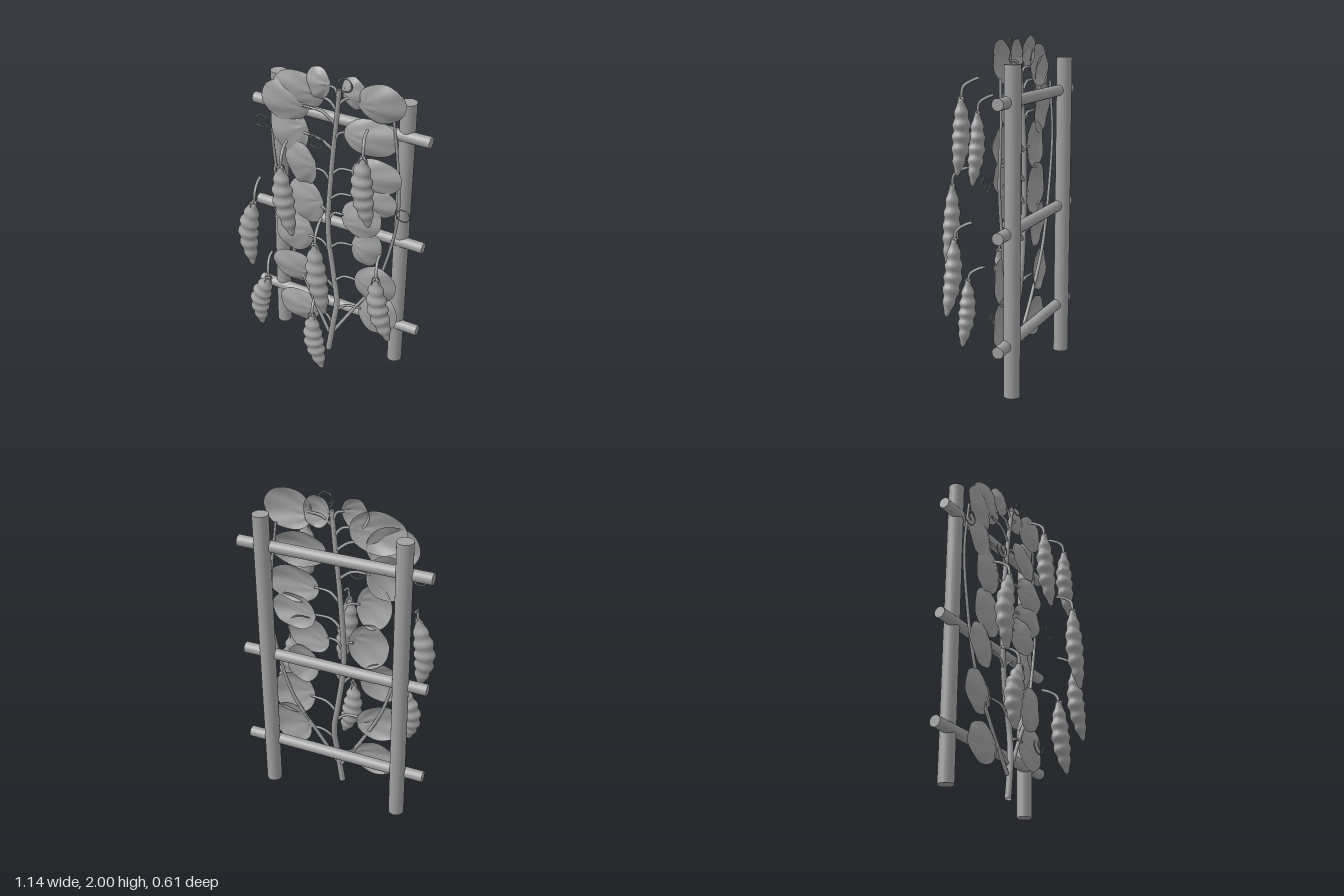
import * as THREE from 'three';
import { mergeVertices } from 'three/addons/utils/BufferGeometryUtils.js';

const V = (p) => new THREE.Vector3(...p);

export function createModel() {
  const model = new THREE.Group();
  const grey = new THREE.MeshStandardMaterial({ color: 0xa0a0a0, side: THREE.DoubleSide });
  grey.name = 'plainGrey';

  const add = (name, geometry, parent = model) => {
    const mesh = new THREE.Mesh(geometry, grey);
    mesh.name = name;
    parent.add(mesh);
    return mesh;
  };

  // Tube through points whose radius follows a rule of t; depth flattens it in z
  const sweep = (points, radius, segments = 24, sides = 8, depth = 1) => {
    const curve = new THREE.CatmullRomCurve3(points.map(V));
    const g = new THREE.TubeGeometry(curve, segments, 1, sides);
    const pos = g.attributes.position, v = new THREE.Vector3();
    for (let i = 0; i <= segments; i++) {
      const t = i / segments, c = curve.getPointAt(t), r = radius(t);
      for (let j = 0; j <= sides; j++) {
        const k = i * (sides + 1) + j;
        v.fromBufferAttribute(pos, k).sub(c).multiplyScalar(r);
        pos.setXYZ(k, c.x + v.x, c.y + v.y, c.z + v.z * depth);
      }
    }
    g.deleteAttribute('uv');
    g.deleteAttribute('normal');
    const welded = mergeVertices(g, 1e-5);
    welded.computeVertexNormals();
    return welded;
  };

  // Trellis
  const trellis = new THREE.Group();
  trellis.name = 'trellis';
  model.add(trellis);
  for (const x of [-0.415, 0.415]) {
    add('post', new THREE.CylinderGeometry(0.047, 0.047, 1.86, 24), trellis).position.set(x, 0.93, -0.255);
  }
  for (const y of [0.305, 0.945, 1.66]) {
    const rail = add('rail', new THREE.CylinderGeometry(0.034, 0.034, 1.14, 20), trellis);
    rail.rotation.z = Math.PI / 2;
    rail.position.set(0, y, -0.233);
  }

  // Climbing stems
  const stemPoints = [[0, 0, -0.12], [0.03, 0.23, -0.125], [0.045, 0.4, -0.14], [0.015, 0.6, -0.15],
    [-0.025, 0.92, -0.15], [-0.01, 1.34, -0.155], [0.02, 1.66, -0.15], [0.045, 1.9, -0.14]];
  add('mainStem', sweep(stemPoints, (t) => 0.02 - 0.006 * t, 64, 10));
  const stemCurve = new THREE.CatmullRomCurve3(stemPoints.map(V));
  const stemAt = (y) => {
    let best = stemCurve.getPoint(0);
    for (let i = 1; i <= 100; i++) {
      const p = stemCurve.getPoint(i / 100);
      if (Math.abs(p.y - y) < Math.abs(best.y - y)) best = p;
    }
    return best;
  };
  add('sideVine', sweep([[0, 0.14, -0.125], [-0.16, 0.42, -0.15], [-0.29, 0.7, -0.17], [-0.38, 1.1, -0.18],
    [-0.42, 1.4, -0.18], [-0.41, 1.72, -0.165]], (t) => 0.012 - 0.004 * t, 48));
  add('sideVine', sweep([[0.015, 0.13, -0.125], [0.15, 0.36, -0.15], [0.3, 0.62, -0.17], [0.39, 0.95, -0.18],
    [0.42, 1.2, -0.18], [0.4, 1.5, -0.18], [0.37, 1.78, -0.165]], (t) => 0.012 - 0.004 * t, 48));

  // Leaves: [x, y, half width, half height, turn]
  const leaves = [
    [-0.23, 0.27, 0.15, 0.12, 0], [-0.27, 0.56, 0.155, 0.12, -0.25], [-0.26, 0.85, 0.13, 0.14, 0.3],
    [-0.185, 1.09, 0.125, 0.155, 0.3], [-0.21, 1.35, 0.11, 0.145, 0.2], [-0.29, 1.56, 0.125, 0.15, 0.35],
    [-0.31, 1.74, 0.15, 0.13, -0.2], [-0.23, 1.82, 0.165, 0.125, 0], [-0.095, 1.905, 0.082, 0.095, 0.1],
    [0.125, 1.885, 0.08, 0.098, 0.1], [0.3, 1.865, 0.145, 0.12, 0.2], [0.24, 1.635, 0.165, 0.115, 0],
    [0.285, 1.4, 0.16, 0.115, 0.1], [0.28, 1.225, 0.145, 0.11, 0.1], [0.195, 1.08, 0.14, 0.125, 0.4],
    [0.235, 0.87, 0.1, 0.13, -0.2], [0.305, 0.625, 0.135, 0.145, -0.2], [0.32, 0.4, 0.135, 0.155, -0.2],
  ];
  // Domed blade with soft ripples running out from its base
  const blade = (w, h, inward, phase) => {
    const g = new THREE.RingGeometry(0.001, 1, 36, 7);
    const p = g.attributes.position;
    for (let i = 0; i < p.count; i++) {
      const x = p.getX(i), y = p.getY(i), r = Math.hypot(x, y);
      const a = Math.atan2(y, 1.1 - x * inward);
      const ripple = 0.006 * r * Math.sin(a * 11 + phase) * Math.min(1, 1.2 - r * 0.5);
      p.setXYZ(i, x * w, y * h, 0.016 - 0.03 * r * r + ripple);
    }
    g.computeVertexNormals();
    return g;
  };
  leaves.forEach(([x, y, w, h, turn], i) => {
    const inward = x < 0 ? 1 : -1;
    const z = -0.135 - 0.012 * (i % 2);
    const leaf = add('leaf', blade(w, h, inward, i * 1.7));
    leaf.position.set(x, y, z);
    leaf.rotation.set(0.08 * Math.sin(i * 2.1), 0.1 * Math.sin(i * 1.3), turn);
    // Arched leaf stalk from the main stem
    const s = stemAt(y - 0.07), end = x + inward * w * 0.8;
    add('leafStalk', sweep([[s.x, s.y, s.z], [s.x * 0.6 + end * 0.4, y - 0.01, -0.145],
      [end, y, z - 0.005]], (t) => 0.01 - 0.003 * t, 12, 6));
  });

  // Curled tendrils: [x, y] of each coil
  for (const [x, y] of [[0.09, 1.945], [-0.455, 1.585], [-0.09, 1.545], [0.475, 1.215], [0.365, 0.41]]) {
    const coil = [];
    for (let i = 0; i <= 20; i++) {
      const a = 2.6 + i * 0.4, r = 0.05 - 0.0008 * i;
      coil.push([x + r * Math.cos(a), y + r * Math.sin(a), -0.13 + 0.0013 * i]);
    }
    add('tendril', sweep(coil, () => 0.0042, 48, 6));
  }

  // Pods: top x, middle x, tip x, top y, tip y, z, stalk end x, stalk end y
  const pods = [
    [-0.385, -0.435, -0.41, 1.165, 0.7, 0.11, -0.4, 1.28],
    [-0.295, -0.36, -0.35, 0.645, 0.26, 0.125, -0.325, 0.77],
    [-0.14, -0.125, -0.07, 1.53, 1.09, 0.2, -0.155, 1.64],
    [0.315, 0.315, 0.365, 1.66, 1.23, 0.095, 0.29, 1.775],
    [0.105, 0.12, 0.175, 1.12, 0.645, 0.255, 0.095, 1.235],
    [0.42, 0.44, 0.52, 0.88, 0.455, 0.095, 0.395, 0.98],
    [0.045, 0.06, 0.12, 0.53, 0.13, 0.185, 0.025, 0.62],
  ];
  // Swollen outline with a bulge at each seed and pointed ends
  const podRadius = (t) => {
    const body = Math.pow(Math.sin(Math.PI * Math.min(1, 0.04 + t * 0.955)), 0.65);
    return 0.003 + body * (0.06 + 0.006 * Math.cos((t - 0.5) * Math.PI * 2 * 6));
  };
  for (const [tx, mx, bx, ty, by, z, sx, sy] of pods) {
    const group = new THREE.Group();
    group.name = 'hangingPod';
    model.add(group);
    const my = (ty + by) / 2;
    add('pod', sweep([[tx, ty, z], [mx, my, z], [bx, by, z + 0.005]], podRadius, 60, 18, 0.76), group);
    add('podStalk', sweep([[sx, sy, z - 0.1], [sx + 0.004, sy - 0.015, z - 0.06],
      [(sx + tx) / 2 + 0.008, sy - 0.05, z - 0.012], [tx, ty - 0.02, z]], () => 0.009, 20, 8), group);
    // Small drooping sepals around the top
    for (let k = 0; k < 4; k++) {
      const a = k * Math.PI / 2 + 0.4, c = Math.cos(a), s = Math.sin(a);
      add('sepal', sweep([[tx, ty + 0.005, z], [tx + 0.017 * c, ty + 0.002, z + 0.017 * s],
        [tx + 0.03 * c, ty - 0.025, z + 0.03 * s]], (t) => 0.008 * (1 - t) + 0.001, 8, 6), group);
    }
  }
  return model;
}
